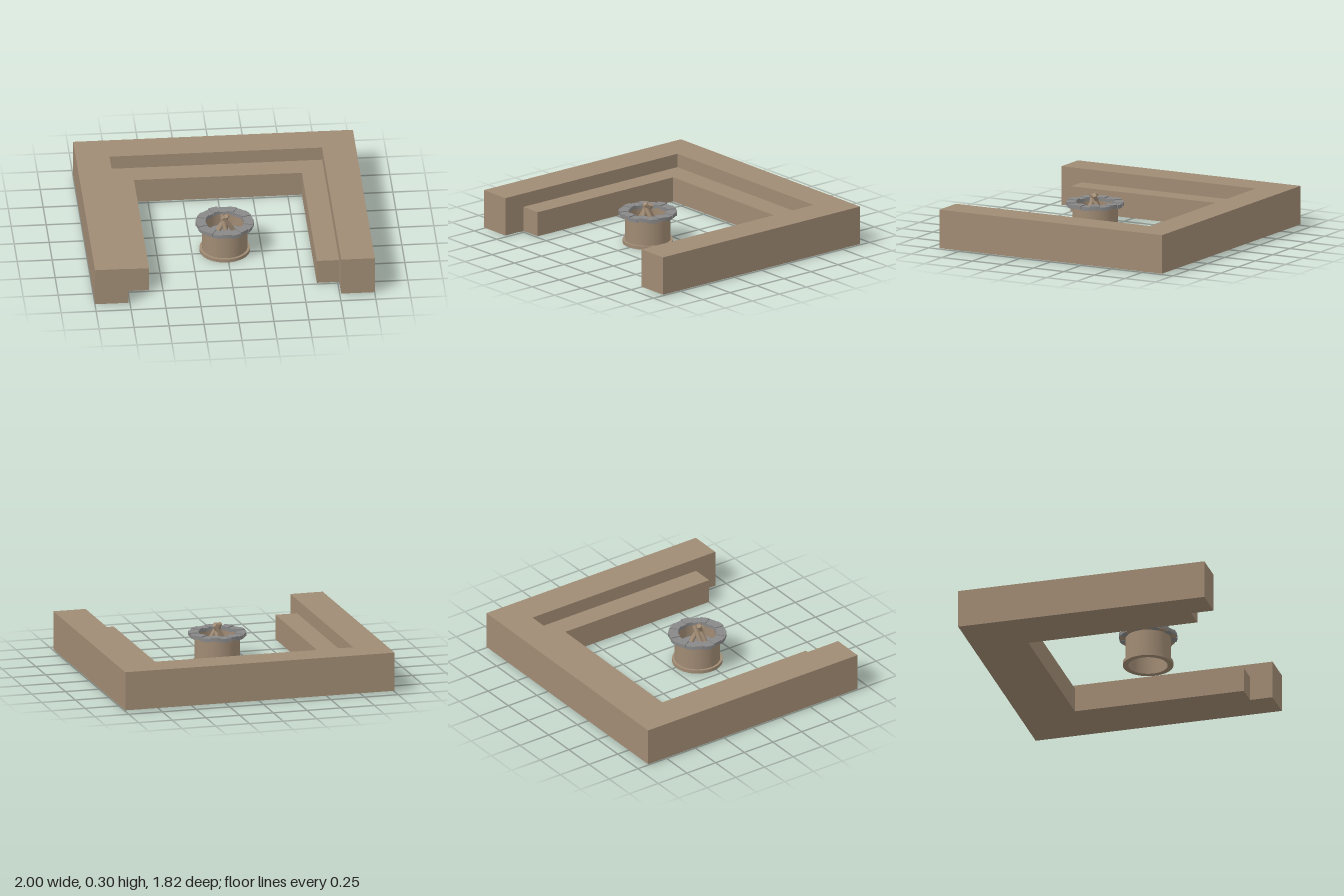
import * as THREE from 'three';

const earth = new THREE.MeshStandardMaterial({ color: 0xa08b74 });
earth.name = 'tan masonry';
const stone = new THREE.MeshStandardMaterial({ color: 0x888888 });
stone.name = 'grey stone';

function add(parent, name, geometry, material) {
  const mesh = new THREE.Mesh(geometry, material);
  mesh.name = name;
  parent.add(mesh);
  return mesh;
}

// U-shaped block open towards +z, extruded upwards
function uBlock(outerX, innerX, backZ, innerZ, frontZ, y0, y1) {
  const points = [
    [-outerX, frontZ], [-innerX, frontZ], [-innerX, innerZ], [innerX, innerZ],
    [innerX, frontZ], [outerX, frontZ], [outerX, backZ], [-outerX, backZ],
  ];
  const shape = new THREE.Shape(points.map(([x, z]) => new THREE.Vector2(x, -z)));
  const g = new THREE.ExtrudeGeometry(shape, { depth: y1 - y0, bevelEnabled: false });
  return g.rotateX(-Math.PI / 2).translate(0, y0, 0);
}

// Ring or ring segment with a rectangular section
function ring(inner, outer, y0, y1, start = 0, sweep = Math.PI * 2, steps = 48) {
  const shape = new THREE.Shape();
  if (sweep < Math.PI * 2) {
    shape.absarc(0, 0, outer, start, start + sweep, false);
    shape.absarc(0, 0, inner, start + sweep, start, true);
  } else {
    shape.absarc(0, 0, outer, 0, sweep, false);
    const hole = new THREE.Path();
    hole.absarc(0, 0, inner, 0, sweep, true);
    shape.holes.push(hole);
  }
  const g = new THREE.ExtrudeGeometry(shape, { depth: y1 - y0, bevelEnabled: false, curveSegments: steps });
  return g.rotateX(-Math.PI / 2).translate(0, y0, 0);
}

// Smooth open tube with wall thickness
function tube(inner, outer, y0, y1) {
  const group = new THREE.Group();
  const h = y1 - y0;
  const mid = (y0 + y1) / 2;
  add(group, 'outerWall', new THREE.CylinderGeometry(outer, outer, h, 48, 1, true).translate(0, mid, 0), earth);
  const inside = new THREE.CylinderGeometry(inner, inner, h, 48, 1, true).scale(-1, 1, 1);
  // mirrored surface faces inwards
  inside.attributes.normal.array.forEach((v, i, a) => { a[i] = -v; });
  inside.computeVertexNormals();
  add(group, 'innerWall', inside.translate(0, mid, 0), earth);
  return group;
}

export function createModel() {
  const model = new THREE.Group();
  model.name = 'seatingAreaWithFirePit';

  // Retaining wall and the bench inside it
  add(model, 'wall', uBlock(1, 0.76, -0.912, -0.68, 0.912, 0.007, 0.287), earth);
  add(model, 'bench', uBlock(0.76, 0.6, -0.68, -0.507, 0.745, 0.007, 0.187), earth);

  // Fire pit body
  const pit = new THREE.Group();
  pit.name = 'firePit';
  pit.position.set(-0.013, 0, 0.212);
  model.add(pit);
  add(pit, 'baseRing', ring(0.14, 0.18, 0, 0.025), earth);
  const body = tube(0.138, 0.162, 0.005, 0.22);
  body.name = 'pitWall';
  pit.add(body);
  add(pit, 'rimBed', ring(0.14, 0.2, 0.208, 0.228), earth);

  // Capstones, alternating slightly in height
  const count = 18;
  const step = (Math.PI * 2) / count;
  for (let i = 0; i < count; i++) {
    const top = 0.234 + (i % 2) * 0.007;
    const outer = 0.204 + (i % 3) * 0.002;
    add(pit, 'capStone' + i, ring(0.137, outer, top - 0.027, top, i * step, step * 0.99, 4), stone);
  }

  // Gravel floor
  add(pit, 'gravelFloor', new THREE.CircleGeometry(0.138, 48).rotateX(-Math.PI / 2).translate(0, 0.13, 0), stone);

  // Firewood leaning together: foot x, foot z, top x, top z, top height
  const logs = [
    [0.08, 0.005, -0.015, 0.025, 0.285],
    [0.012, -0.062, 0.005, 0.03, 0.293],
    [-0.068, -0.005, 0.025, -0.01, 0.285],
    [-0.07, 0.04, 0.015, 0.01, 0.29],
    [0.012, 0.07, -0.02, 0.0, 0.296],
  ];
  const up = new THREE.Vector3(0, 1, 0);
  logs.forEach(([fx, fz, tx, tz, ty], i) => {
    const foot = new THREE.Vector3(fx, 0.14, fz);
    const top = new THREE.Vector3(tx, ty, tz);
    const dir = top.clone().sub(foot);
    const log = add(pit, 'log' + i, new THREE.CylinderGeometry(0.016, 0.016, dir.length(), 12), earth);
    log.position.copy(foot).add(top).multiplyScalar(0.5);
    log.quaternion.setFromUnitVectors(up, dir.normalize());
  });

  return model;
}
